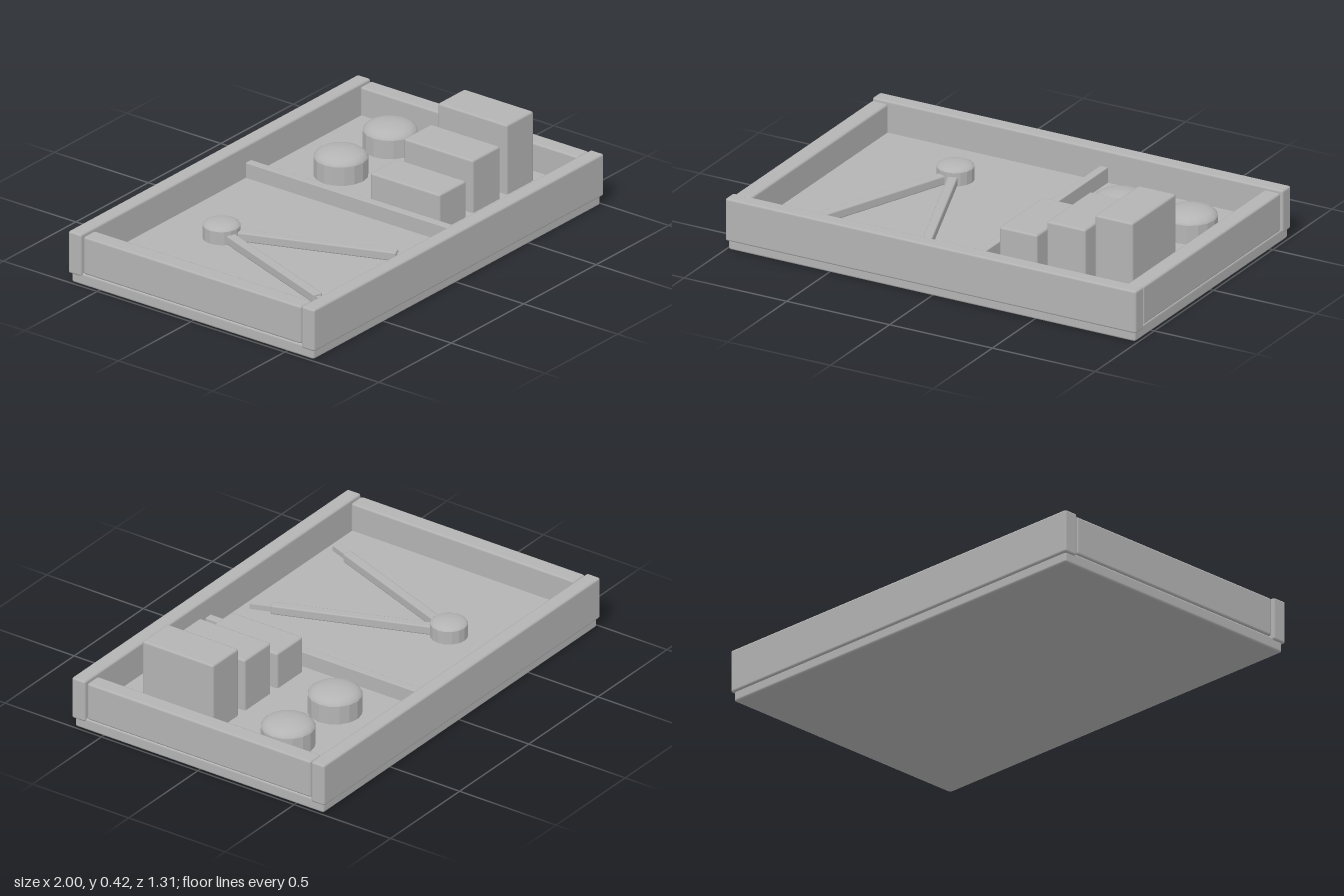
import * as THREE from 'three';
import { RoundedBoxGeometry } from 'three/addons/geometries/RoundedBoxGeometry.js';

export function createModel() {
  const model = new THREE.Group();
  model.name = 'toolTray';
  const clayGrey = new THREE.MeshStandardMaterial({ color: 0xb4b4b4 });
  clayGrey.name = 'clay grey';

  // Bevelled box given by its extents
  function box(name, [x0, x1], [y0, y1], [z0, z1], bevel = 0.01, parent = model) {
    const mesh = new THREE.Mesh(
      new RoundedBoxGeometry(x1 - x0, y1 - y0, z1 - z0, 1, bevel), clayGrey);
    mesh.position.set((x0 + x1) / 2, (y0 + y1) / 2, (z0 + z1) / 2);
    mesh.name = name;
    parent.add(mesh);
    return mesh;
  }

  // Short drum with a shallow domed top
  function domedDisc(name, radius, rimHeight, domeHeight, segments) {
    const side = [new THREE.Vector2(0, 0), new THREE.Vector2(radius, 0), new THREE.Vector2(radius, rimHeight)];
    const dome = [];
    for (let i = 0; i <= 5; i++) {
      const a = (i / 5) * Math.PI / 2;
      dome.push(new THREE.Vector2(radius * Math.cos(a), rimHeight + domeHeight * Math.sin(a)));
    }
    dome[5].x = 0;
    const group = new THREE.Group();
    group.name = name;
    const drum = new THREE.Mesh(new THREE.LatheGeometry(side, segments).toNonIndexed(), clayGrey);
    drum.geometry.computeVertexNormals();
    drum.name = name + 'Drum';
    const cap = new THREE.Mesh(new THREE.LatheGeometry(dome, segments), clayGrey);
    cap.name = name + 'Dome';
    group.add(drum, cap);
    model.add(group);
    return group;
  }

  const floorY = 0.1;

  // Tray: base board, inner floor and four walls
  box('baseBoard', [-0.99, 0.99], [0, 0.055], [-0.645, 0.645]);
  box('floorBoard', [-0.95, 0.95], [0.04, 0.08], [-0.59, 0.59]);
  box('floorLining', [-0.925, 0.925], [0.07, floorY], [-0.575, 0.575], 0.004);
  for (const s of [-1, 1]) {
    const span = (a, b) => (s > 0 ? [a, b] : [-b, -a]);
    box(s > 0 ? 'frontRail' : 'backRail', [-1, 1], [0.042, 0.237], span(0.586, 0.656));
    box(s > 0 ? 'leftWall' : 'rightWall', span(0.915, 0.994), [0.055, 0.23], [-0.58, 0.58]);
  }
  box('divider', [0.118, 0.157], [0.08, 0.17], [-0.574, 0.566], 0.004);

  // Three weights of rising height
  [[0.19, 0.375, 0.268], [0.42, 0.61, 0.343], [0.655, 0.84, 0.422]].forEach(([x0, x1, top], i) =>
    box('block' + (i + 1), [x0, x1], [floorY - 0.01, top], [0.035, 0.405]));

  // Two domed pots
  [0.39, 0.73].forEach((x, i) =>
    domedDisc('pot' + (i + 1), 0.117, 0.085, 0.04, 16).position.set(x, floorY, -0.275));

  // Dividers tool: hinge and two splayed legs with thin tips
  const hinge = new THREE.Vector3(-0.42, floorY, -0.285);
  domedDisc('hinge', 0.081, 0.06, 0.022, 16).position.copy(hinge);
  for (const s of [-1, 1]) {
    const leg = new THREE.Group();
    leg.name = s > 0 ? 'leftLeg' : 'rightLeg';
    box('legBar', [-0.022, 0.022], [0, 0.042], [0.02, 0.775], 0.007, leg);
    const tip = new THREE.Mesh(new THREE.BoxGeometry(0.024, 0.024, 0.11), clayGrey);
    tip.position.set(0, 0.02, 0.813);
    tip.name = 'legTip';
    leg.add(tip);
    leg.position.copy(hinge);
    leg.rotation.y = s * Math.atan2(0.275, 0.73);
    model.add(leg);
  }
  return model;
}
